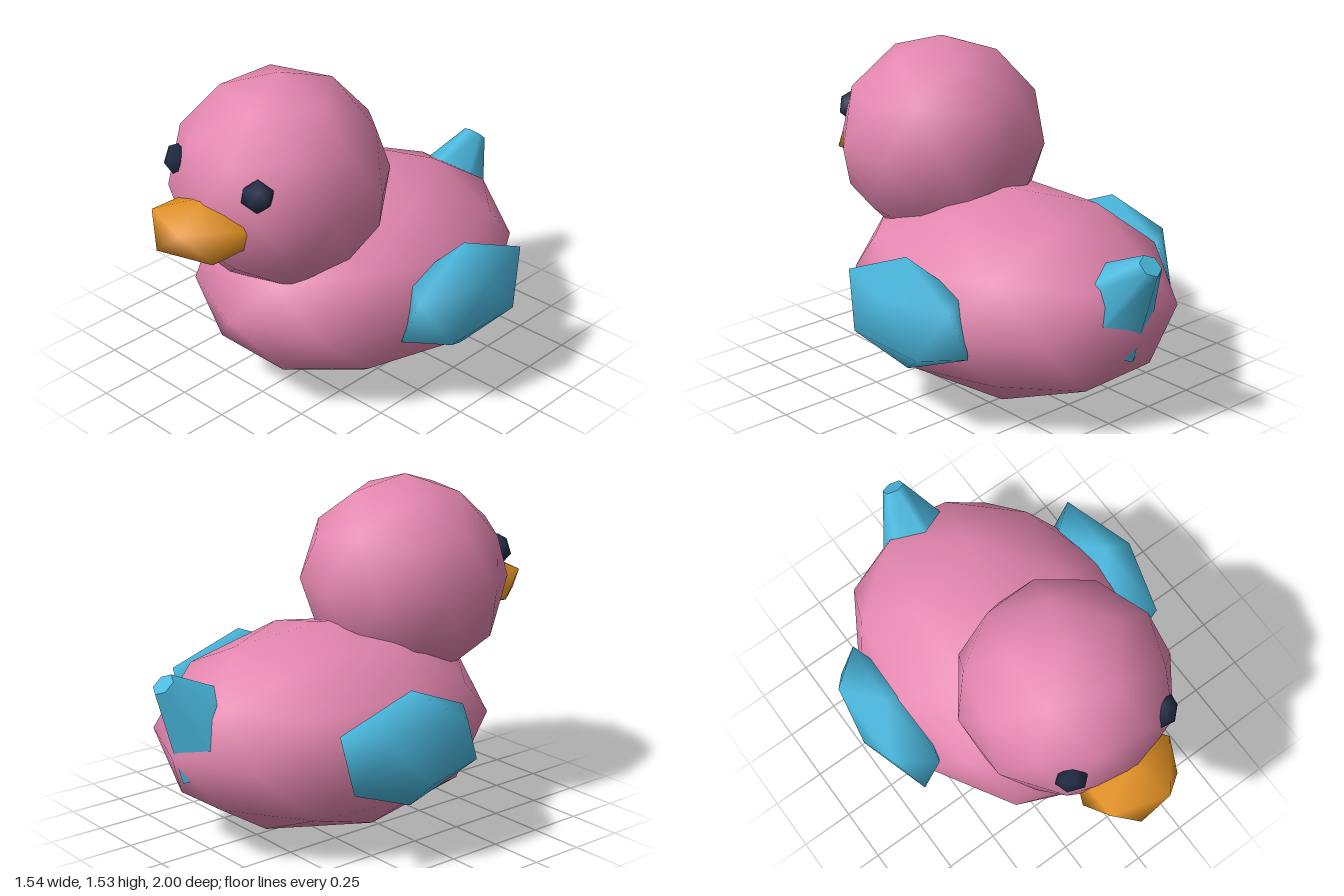
import * as THREE from 'three';
import { mergeVertices } from 'three/addons/utils/BufferGeometryUtils.js';

const material = (name, color) => {
  const m = new THREE.MeshStandardMaterial({ color });
  m.name = name;
  return m;
};

// Smooth-shaded icosphere with a pole pointing up and an upper-ring corner on +x
function icosphere(detail) {
  let g = new THREE.IcosahedronGeometry(1, detail);
  g.rotateZ(-Math.atan(2 / (1 + Math.sqrt(5))));
  g.deleteAttribute('normal');
  g.deleteAttribute('uv');
  g = mergeVertices(g, 1e-4);
  g.computeVertexNormals();
  return g;
}

export function createModel() {
  const group = new THREE.Group();
  const pink = material('pink', 0xe386ae);
  const blue = material('blue', 0x4ab8de);
  const orange = material('orange', 0xe29022);
  const navy = material('navy', 0x1f2b45);
  const round = icosphere(1);
  const coarse = icosphere(0);

  const add = (name, geometry, mat, position, scale = [1, 1, 1]) => {
    const mesh = new THREE.Mesh(geometry, mat);
    mesh.name = name;
    mesh.position.set(...position);
    mesh.scale.set(...scale);
    group.add(mesh);
    return mesh;
  };

  // Body, head and beak
  add('body', round, pink, [0, 0.46, -0.12], [0.66, 0.46, 0.81]);
  add('head', round, pink, [0, 1.05, 0.36], [0.48, 0.48, 0.48]);
  add('beak', coarse, orange, [0, 0.975, 0.797], [0.255, 0.135, 0.24]);

  // Wings and eyes on both sides
  for (const [side, s] of [['left', 1], ['right', -1]]) {
    add(side + 'Wing', coarse, blue, [s * 0.62, 0.5, -0.14], [0.17, 0.257, 0.405]);
    const eye = add(side + 'Eye', coarse, navy, [s * 0.248, 1.175, 0.728], [0.075, 0.072, 0.05]);
    eye.rotation.set(-0.2, s * 0.55, 0, 'YXZ');
  }

  // Tail: a six-sided tapered stub leaning back
  const tail = add('tail', new THREE.CylinderGeometry(0.054, 0.24, 0.4, 6), blue, [0, 0.645, -0.83]);
  tail.rotation.x = -0.72;

  return group;
}
